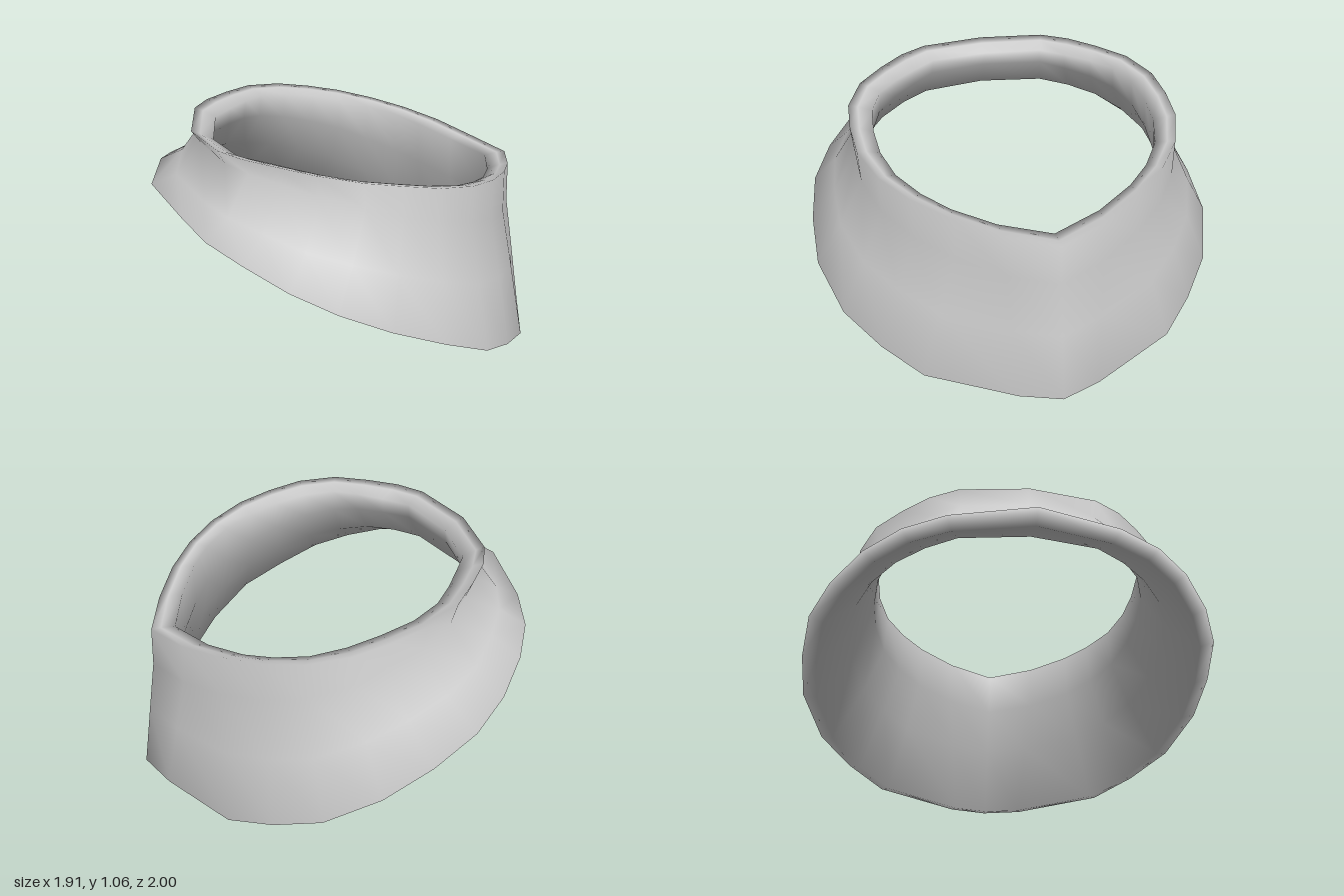
import * as THREE from 'three';

// Half outlines from the pointed end (+x) round the front to the blunt end (-x): [x, y, z]
const HEM = [
  [0.955, 0.008, 0], [0.885, 0.004, 0.19], [0.7, 0.05, 0.59], [0.54, 0.12, 0.76], [0.36, 0.21, 0.91],
  [0.12, 0.34, 1], [-0.12, 0.44, 1], [-0.34, 0.54, 0.965], [-0.52, 0.62, 0.87], [-0.68, 0.7, 0.73],
  [-0.8, 0.75, 0.57], [-0.87, 0.79, 0.38], [-0.955, 0.81, 0],
];
const RIM = [
  [0.847, 0.775, 0], [0.755, 0.8, 0.22], [0.64, 0.84, 0.41], [0.505, 0.875, 0.57], [0.35, 0.91, 0.69],
  [0.17, 0.95, 0.762], [0, 0.985, 0.775], [-0.17, 1.015, 0.765], [-0.35, 1.04, 0.69], [-0.49, 1.05, 0.57],
  [-0.61, 1.055, 0.45], [-0.69, 1.057, 0.32], [-0.755, 1.047, 0],
];
const OPENING = [
  [0.735, 0], [0.64, 0.23], [0.53, 0.41], [0.43, 0.52], [0.3, 0.61], [0.15, 0.657], [0, 0.668],
  [-0.16, 0.655], [-0.3, 0.6], [-0.4, 0.51], [-0.5, 0.4], [-0.595, 0.29], [-0.655, 0],
];
const N = HEM.length - 1;

// Closed ring from a half-ring rule, mirrored to the back
function ring(rule) {
  const half = HEM.map((_, k) => rule(k, k / N));
  const back = half.slice(1, N).reverse().map(([x, y, z]) => [x, y, -z]);
  return [...half, ...back];
}

// Point between two half outlines, with separate sideways and vertical fractions
function between(a, b, h, v) {
  return [a[0] + (b[0] - a[0]) * h, a[1] + (b[1] - a[1]) * v, a[2] + (b[2] - a[2]) * h];
}

// Smooth skin through the rings, closed around and from the last ring back to the first
function closedLoft(rings) {
  const n = rings[0].length;
  const index = [];
  rings.forEach((_, j) => {
    const upper = j * n, lower = ((j + 1) % rings.length) * n;
    for (let k = 0; k < n; k++) {
      const next = (k + 1) % n;
      index.push(upper + k, upper + next, lower + k, upper + next, lower + next, lower + k);
    }
  });
  const geometry = new THREE.BufferGeometry();
  geometry.setAttribute('position', new THREE.Float32BufferAttribute(rings.flat(2), 3));
  geometry.setIndex(index);
  geometry.computeVertexNormals();
  return geometry;
}

export function createModel() {
  const group = new THREE.Group();
  group.name = 'collar';

  const opening = (k, t) => [OPENING[k][0], RIM[k][1] - 0.01 - 0.04 * t, OPENING[k][1]];
  const hemInside = (k, t) => {
    const [x, y, z] = HEM[k];
    return [x * 0.935, y - 0.016 + 0.01 * x - 0.03 * t ** 6, z * 0.935];
  };
  const flareDrop = (t) => 0.58 + 0.28 * t * t;

  const rings = [
    // Outer wall: rim, pinched neck, flare, hem
    ring((k) => RIM[k]),
    ring((k, t) => between(RIM[k], HEM[k], 0.1 - 0.3 * t, 0.25)),
    ring((k, t) => between(RIM[k], HEM[k], 0.5 - 0.09 * t, flareDrop(t))),
    ring((k) => HEM[k]),
    // Inner wall, from hem up to opening
    ring(hemInside),
    ring((k, t) => between(opening(k, t), hemInside(k, t), 0.43, flareDrop(t))),
    ring((k, t) => between(opening(k, t), hemInside(k, t), 0.05, 0.28)),
    ring(opening),
    // Softly rounded crown of the rim
    ring((k, t) => {
      const [x, y, z] = between(RIM[k], opening(k, t), 0.4, 0.4);
      return [x, y + 0.004, z];
    }),
  ];

  const band = new THREE.Mesh(closedLoft(rings), new THREE.MeshStandardMaterial({ color: 0xcccccc }));
  band.name = 'collarBand';
  group.add(band);
  return group;
}
